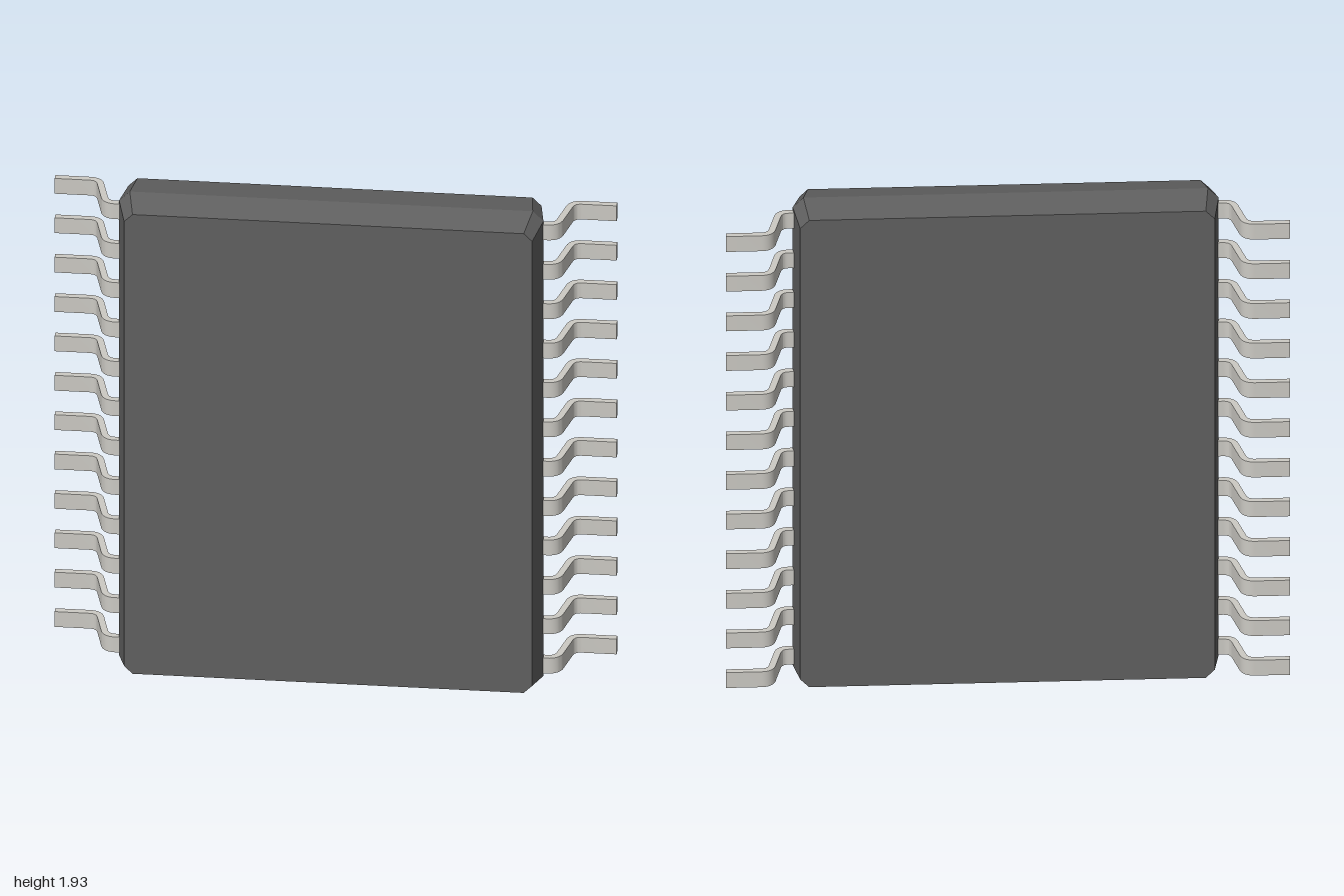
import * as THREE from 'three';
import { toCreasedNormals } from 'three/addons/utils/BufferGeometryUtils.js';

const MID_Y = 0.963;

// Chamfered rectangle (half width, half height, corner cut) at depth z, counter-clockwise from the front
function ring(w, h, c, z) {
  return [[w, c - h], [w, h - c], [w - c, h], [c - w, h], [-w, h - c], [-w, c - h], [c - w, -h], [w - c, -h]]
    .map(([x, y]) => [x, y + MID_Y, z]);
}

// Flat-faced loft through the rings from back to front, capped at both ends
function loft(rings) {
  const pos = [];
  const tri = (a, b, c) => pos.push(...a, ...b, ...c);
  const n = rings[0].length;
  for (let r = 0; r < rings.length - 1; r++) {
    for (let i = 0; i < n; i++) {
      const j = (i + 1) % n, lo = rings[r], hi = rings[r + 1];
      tri(lo[i], lo[j], hi[j]);
      tri(lo[i], hi[j], hi[i]);
    }
  }
  const back = rings[0], front = rings[rings.length - 1];
  for (let i = 1; i < n - 1; i++) {
    tri(back[0], back[i + 1], back[i]);
    tri(front[0], front[i], front[i + 1]);
  }
  const g = new THREE.BufferGeometry();
  g.setAttribute('position', new THREE.Float32BufferAttribute(pos, 3));
  g.computeVertexNormals();
  return g;
}

// Gull-wing strip: a rounded centreline, offset both ways and extruded along y
function leadGeometry(side, thickness, width) {
  const corners = [[0.7, -0.025], [0.803, -0.025], [0.842, 0.136], [1, 0.136]]
    .map(([x, y]) => new THREE.Vector2(x * side, y));
  const line = [corners[0]];
  for (let i = 1; i < 3; i++) {
    const p = corners[i];
    const toward = q => p.clone().add(q.clone().sub(p).setLength(0.034));
    line.push(...new THREE.QuadraticBezierCurve(toward(corners[i - 1]), p, toward(corners[i + 1])).getPoints(8));
  }
  line.push(corners[3]);
  const offset = d => line.map((p, i) => {
    const t = line[Math.min(i + 1, line.length - 1)].clone().sub(line[Math.max(i - 1, 0)]).normalize();
    if (i === 0 || i === line.length - 1) t.set(side, 0);
    return new THREE.Vector2(p.x - t.y * d, p.y + t.x * d);
  });
  const shape = new THREE.Shape([...offset(thickness / 2), ...offset(-thickness / 2).reverse()]);
  const g = new THREE.ExtrudeGeometry(shape, { depth: width, bevelEnabled: false });
  g.translate(0, 0, -width / 2).rotateX(-Math.PI / 2);
  return toCreasedNormals(g, 0.6);
}

export function createModel() {
  const model = new THREE.Group();
  model.name = 'chipPackage';
  const plastic = new THREE.MeshStandardMaterial({ color: 0x606060 });
  const metal = new THREE.MeshStandardMaterial({ color: 0xcccac4 });

  // Moulded body, widest at the parting line
  const body = new THREE.Mesh(loft([
    ring(0.735, 0.943, 0.032, -0.1),
    ring(0.755, 0.963, 0.038, 0.033),
    ring(0.726, 0.934, 0.03, 0.146),
  ]), plastic);
  body.name = 'body';
  model.add(body);

  // Flush round mark beside the first lead
  const mark = new THREE.Mesh(new THREE.CircleGeometry(0.045, 32), plastic);
  mark.name = 'firstLeadMark';
  mark.position.set(-0.505, 1.685, 0.1465);
  model.add(mark);

  // Twelve leads on each long side
  for (const side of [1, -1]) {
    const leads = new THREE.Group();
    leads.name = side > 0 ? 'leftLeads' : 'rightLeads';
    const geometry = leadGeometry(side, 0.024, 0.062);
    for (let i = 0; i < 12; i++) {
      const lead = new THREE.Mesh(geometry, metal);
      lead.name = 'lead' + (i + 1);
      lead.position.y = MID_Y + (i - 5.5) * 0.1602;
      leads.add(lead);
    }
    model.add(leads);
  }
  return model;
}
